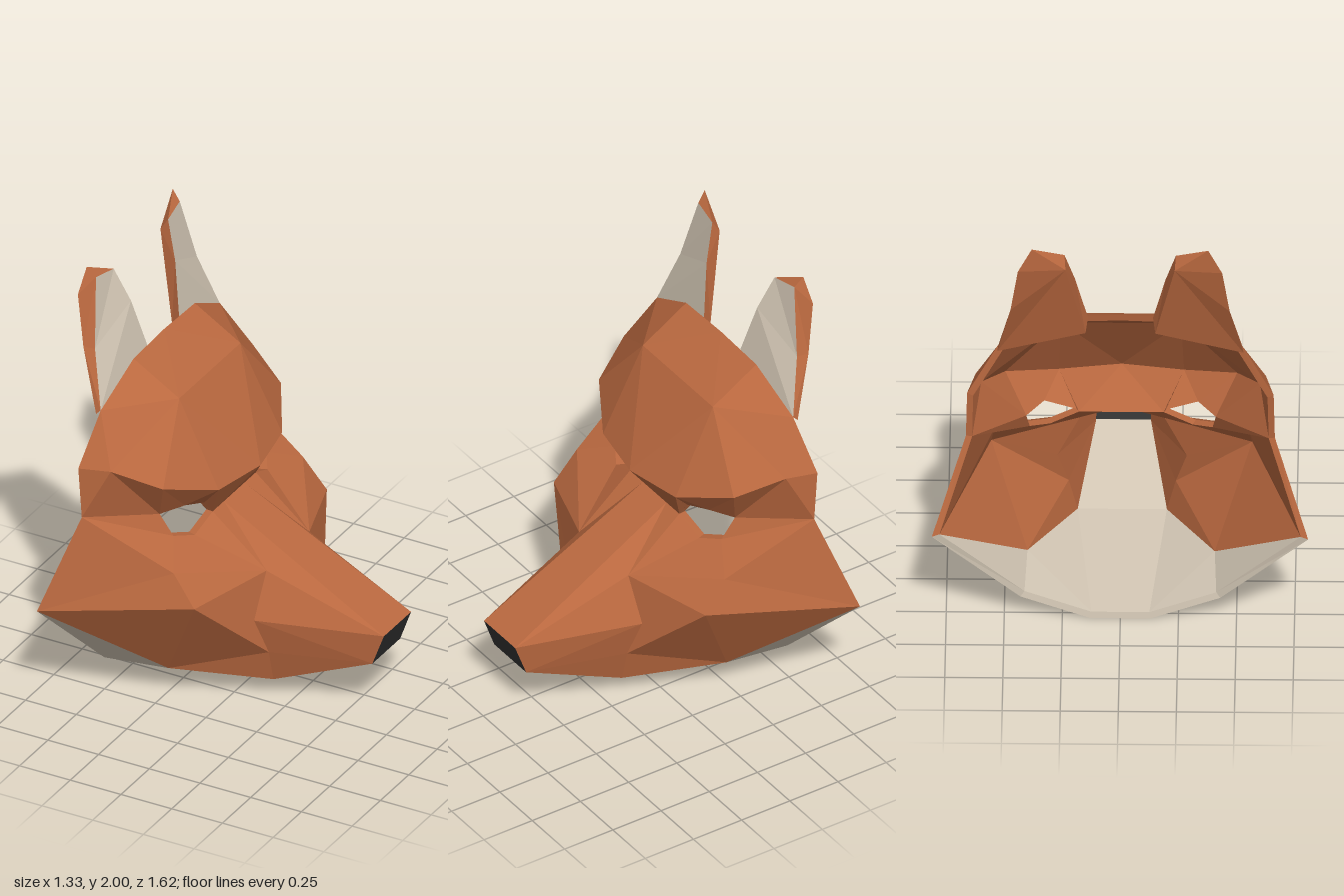
import * as THREE from 'three';

// Corner points of the +z half; names ending in 0 lie on the middle plane
const P = {
  // forehead and back rim
  F: [-0.485, 1.535, 0.27], F0: [-0.485, 1.545, 0], G: [-0.26, 1.4, 0.27], G0: [-0.26, 1.4, 0],
  e: [-0.505, 1.4, 0.525], U: [-0.54, 1.17, 0.66], T: [-0.52, 0.935, 0.665],
  // brow edge
  V: [-0.4, 1.175, 0.625], W: [-0.2, 1.09, 0.52], X: [-0.06, 1.005, 0.28], Y0: [-0.01, 1, 0],
  // eye opening
  E1: [-0.27, 0.9, 0.425], E2: [-0.19, 0.925, 0.345], E3: [-0.175, 0.87, 0.2],
  E4: [-0.14, 0.83, 0.19], E5: [-0.155, 0.775, 0.32], E6: [-0.21, 0.8, 0.41],
  M: [-0.14, 0.83, 0.09], M0: [-0.14, 0.83, 0],
  // cheek
  K: [-0.66, 0.5, 0.81], C1: [-0.12, 0.72, 0.57], C2: [-0.01, 0.58, 0.585], B: [-0.23, 0.14, 0.42],
  // snout root and nose
  S1: [0.125, 0.61, 0.19], S2: [0.12, 0.41, 0.29], S3: [0.165, 0.24, 0.24],
  S4: [0.165, 0.085, 0.2], S0: [0.165, 0.085, 0],
  N: [0.665, 0.4, 0.12], N0: [0.665, 0.4, 0], L: [0.61, 0.25, 0.123], L0: [0.61, 0.25, 0],
  // chin rim
  R1: [-0.54, 0.11, 0.43], R2: [-0.54, 0, 0.13], R0: [-0.54, 0, 0],
  // ear: front outline, then back outline
  m: [-0.575, 1.65, 0.45], a: [-0.615, 1.955, 0.37], b: [-0.6, 1.935, 0.24],
  i: [-0.54, 1.77, 0.195], f: [-0.49, 1.535, 0.14],
  r: [-0.525, 1.38, 0.53], d: [-0.62, 1.66, 0.472], c: [-0.665, 1.89, 0.44], t: [-0.655, 2, 0.38],
  q: [-0.635, 1.88, 0.235], p: [-0.53, 1.48, 0.15],
};

// Mask panels, given as polygons between the named points
const shell = [
  ['forehead', 'russet', [
    'F0 F G G0', 'F e G', 'e V G', 'V W G', 'e U V', 'G W X', 'G X Y0', 'G Y0 G0',
  ]],
  ['brow', 'russet', [
    'U T V', 'V T E1', 'V E1 W', 'W E1 E2', 'W E2 X', 'X E2 E3', 'X E3 E4', 'X E4 Y0', 'E4 M M0 Y0',
  ]],
  ['cheeks', 'russet', [
    'T E6 E1', 'T C1 E6', 'T K C1', 'K C2 C1', 'E6 C1 E5', 'E5 C1 S1', 'C1 C2 S1', 'E4 E5 S1',
    'C2 S2 S1', 'C2 S3 S2', 'K B C2', 'C2 B S3', 'B S4 S3',
  ]],
  ['snout', 'russet', [
    'M N N0 M0', 'M E4 S1', 'M S1 N', 'S1 S2 N', 'S2 L N', 'S2 S3 L', 'S3 S4 L',
  ]],
  ['chin', 'cream', ['L S4 S0 L0', 'S4 R2 R0 S0', 'B R1 R2', 'B R2 S4', 'K R1 B']],
];
const rim = ['F0', 'F', 'e', 'U', 'T', 'K', 'R1', 'R2', 'R0'];
const eye = ['E1', 'E2', 'E3', 'E4', 'E5', 'E6', 'E1'];

// Lining points (suffix i) sit slightly inside the mask; the back rim stays flush
for (const [k, [x, y, z]] of Object.entries(P)) {
  P[k + 'i'] = [rim.includes(k) ? x + 0.005 : x - 0.035, 0.75 + (y - 0.75) * 0.96, z * 0.96];
}
const inner = face => face.split(' ').map(k => k + 'i').join(' ');
const strip = keys => keys.slice(1).map((k, n) => `${keys[n]} ${k} ${k}i ${keys[n]}i`);

const material = color => new THREE.MeshStandardMaterial({
  color, roughness: 0.9, flatShading: true, side: THREE.DoubleSide,
});
const mats = { russet: material(0xb9683f), cream: material(0xd2c6b4), dark: material(0x333333) };

// Builds polygons by fans; facing 1 looks away from `center`, -1 looks towards it
function panel(name, mat, faces, center, facing = 1, sides = [1, -1]) {
  const pos = [], va = new THREE.Vector3(), vb = new THREE.Vector3();
  for (const face of faces) {
    const pts = face.split(' ').map(k => new THREE.Vector3(...P[k]));
    for (let n = 1; n < pts.length - 1; n++) {
      const tri = [pts[0], pts[n], pts[n + 1]];
      const normal = va.subVectors(tri[1], tri[0]).cross(vb.subVectors(tri[2], tri[0]));
      const mid = tri[0].clone().add(tri[1]).add(tri[2]).divideScalar(3);
      if (normal.dot(mid.sub(center)) * facing < 0) tri.reverse();
      for (const s of sides) {
        const order = s > 0 ? tri : [...tri].reverse();
        for (const p of order) pos.push(p.x, p.y, p.z * s);
      }
    }
  }
  const geo = new THREE.BufferGeometry();
  geo.setAttribute('position', new THREE.Float32BufferAttribute(pos, 3));
  geo.computeVertexNormals();
  const mesh = new THREE.Mesh(geo, mats[mat]);
  mesh.name = name;
  return mesh;
}

export function createModel() {
  const model = new THREE.Group();
  model.name = 'animalMask';
  const head = new THREE.Vector3(-0.6, 0.7, 0);
  const ahead = new THREE.Vector3(3, 0.7, 0);
  const eyeCentre = new THREE.Vector3(-0.2, 0.85, 0.31);

  // Outer skin and lining
  for (const [name, mat, faces] of shell) {
    model.add(panel(name, mat, faces, head));
    model.add(panel(name + 'Lining', mat, faces.map(inner), head, -1));
  }
  model.add(
    panel('nose', 'dark', ['N L L0 N0'], head),
    panel('upperRim', 'russet', strip(rim.slice(0, 6)), ahead),
    panel('chinRim', 'cream', strip(rim.slice(5)), ahead),
    panel('eyeRims', 'russet', strip(eye), eyeCentre, -1),
  );

  // Ears: cream hollow in front, russet back and edges
  const earCore = new THREE.Vector3(-0.585, 1.7, 0.33);
  const earBehind = new THREE.Vector3(-1.5, 1.5, 0.33);
  const earAhead = new THREE.Vector3(1, 1.7, 0.33);
  for (const [name, side] of [['leftEar', 1], ['rightEar', -1]]) {
    const ear = new THREE.Group();
    ear.name = name;
    ear.add(
      panel('earInside', 'cream', ['e m i f', 'm a b i'], earBehind, 1, [side]),
      panel('earBack', 'russet', ['r d q p', 'd c q', 'c t q'], earAhead, 1, [side]),
      panel('earEdge', 'russet', [
        'e r d m', 'd c a m', 'c t a', 't b a', 't q b', 'q i b', 'q p i', 'p f i',
      ], earCore, 1, [side]),
    );
    model.add(ear);
  }
  return model;
}
